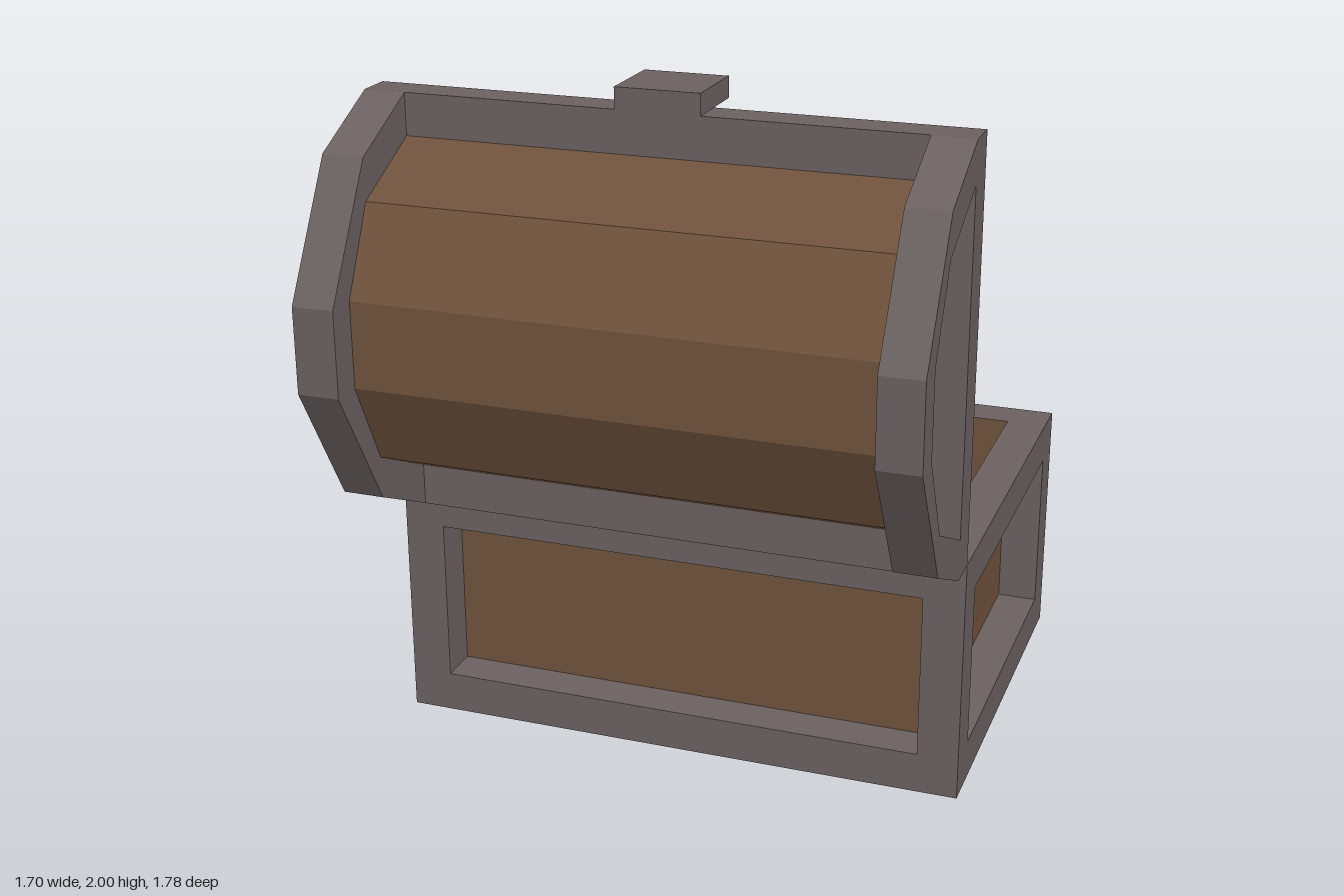
import * as THREE from 'three';

const frameMat = new THREE.MeshStandardMaterial({ color: 0x6b6161, side: THREE.DoubleSide });
frameMat.name = 'iron grey';
const woodMat = new THREE.MeshStandardMaterial({ color: 0x6f523d, side: THREE.DoubleSide });
woodMat.name = 'wood brown';

const T = 0.12;               // frame width and panel depth
const W = 1.7, D = 1.215, H = 0.73;
const BACK = -0.89, FRONT = 0.325, MID = (BACK + FRONT) / 2;
const RIM = 0.43;             // where the lid rim ends and the barrel begins

function add(parent, name, geometry, material, x = 0, y = 0, z = 0) {
  const mesh = new THREE.Mesh(geometry, material);
  mesh.name = name;
  mesh.position.set(x, y, z);
  parent.add(mesh);
  return mesh;
}

const poly = (pts) => pts.map(([a, b]) => new THREE.Vector2(a, b));

// Rectangle with a rectangular opening, T in from every edge
function frameShape(w, h) {
  const a = w / 2, b = h / 2, i = a - T, j = b - T;
  const shape = new THREE.Shape(poly([[-a, -b], [a, -b], [a, b], [-a, b]]));
  shape.holes.push(new THREE.Path(poly([[-i, -j], [-i, j], [i, j], [i, -j]])));
  return new THREE.ShapeGeometry(shape);
}

// One side of the box: outer frame, side reveals and a recessed wooden panel
function baseWall(name, w, offset, angle) {
  const wall = new THREE.Group();
  wall.name = name;
  wall.rotation.y = angle;
  add(wall, 'wallFrame', frameShape(w, H), frameMat, 0, H / 2, offset);
  for (const s of [-1, 1]) {
    const reveal = new THREE.PlaneGeometry(T, H - 2 * T).rotateY(-s * Math.PI / 2);
    add(wall, 'panelReveal', reveal, frameMat, s * (w / 2 - T), H / 2, offset - T / 2);
  }
  add(wall, 'wallPanel', new THREE.PlaneGeometry(w - 2 * T, H - T), woodMat, 0, (H + T) / 2, offset - T);
  return wall;
}

function makeBase() {
  const base = new THREE.Group();
  base.name = 'base';
  base.position.z = MID;
  base.add(
    baseWall('frontWall', W, D / 2, 0),
    baseWall('backWall', W, D / 2, Math.PI),
    baseWall('leftWall', D, W / 2, Math.PI / 2),
    baseWall('rightWall', D, W / 2, -Math.PI / 2)
  );
  // Horizontal ledges below the panels and around the open top
  for (const [name, y] of [['lowerLedge', T], ['topRim', H]]) {
    add(base, name, frameShape(W, D).rotateX(-Math.PI / 2), frameMat, 0, y, 0);
  }
  return base;
}

function makeLid() {
  const lid = new THREE.Group();
  lid.name = 'lid';
  // Profiles as [z, y]
  const outer = [[FRONT, 0.73], [RIM, 0.73], [0.68, 0.85], [0.89, 1.215], [0.89, 1.46], [0.68, 1.82], [RIM, 1.94], [FRONT, 1.94]];
  const inner = [[RIM, 0.85], [0.68, 0.97], [0.80, 1.215], [0.80, 1.46], [0.68, 1.70], [RIM, 1.82]];

  // End ribs with recessed wooden end panels
  const rib = new THREE.Shape(poly(outer));
  rib.holes.push(new THREE.Path(poly(inner).reverse()));
  for (const s of [-1, 1]) {
    const ribGeo = new THREE.ExtrudeGeometry(rib, { depth: T, bevelEnabled: false }).rotateY(-Math.PI / 2);
    add(lid, 'endRib', ribGeo, frameMat, s > 0 ? W / 2 : -W / 2 + T);
    const panel = new THREE.ShapeGeometry(new THREE.Shape(poly(inner))).rotateY(-Math.PI / 2);
    add(lid, 'endPanel', panel, woodMat, s * (W / 2 - T));
  }

  // Long rails of the rim
  for (const y of [0.79, 1.88]) {
    add(lid, 'rimRail', new THREE.BoxGeometry(W - 2 * T, T, RIM - FRONT), frameMat, 0, y, (RIM + FRONT) / 2);
  }

  // Faceted wooden barrel, a sheet bent along the inner profile
  let barrel = new THREE.PlaneGeometry(W - 2 * T, 1, 1, inner.length - 1);
  const pos = barrel.attributes.position;
  for (let i = 0; i < pos.count; i++) {
    const [z, y] = inner[inner.length - 1 - Math.floor(i / 2)];
    pos.setXYZ(i, pos.getX(i), y, z);
  }
  barrel = barrel.toNonIndexed();
  barrel.computeVertexNormals();
  add(lid, 'barrel', barrel, woodMat);

  // Latch, hollow underneath
  const latch = new THREE.BoxGeometry(0.24, 0.06, 0.225);
  const faces = Array.from(latch.index.array);
  faces.splice(18, 6);
  latch.setIndex(faces);
  latch.clearGroups();
  add(lid, 'latch', latch, frameMat, 0, 1.97, 0.3175);
  return lid;
}

export function createModel() {
  const model = new THREE.Group();
  model.name = 'chest';
  model.add(makeBase(), makeLid());
  return model;
}
